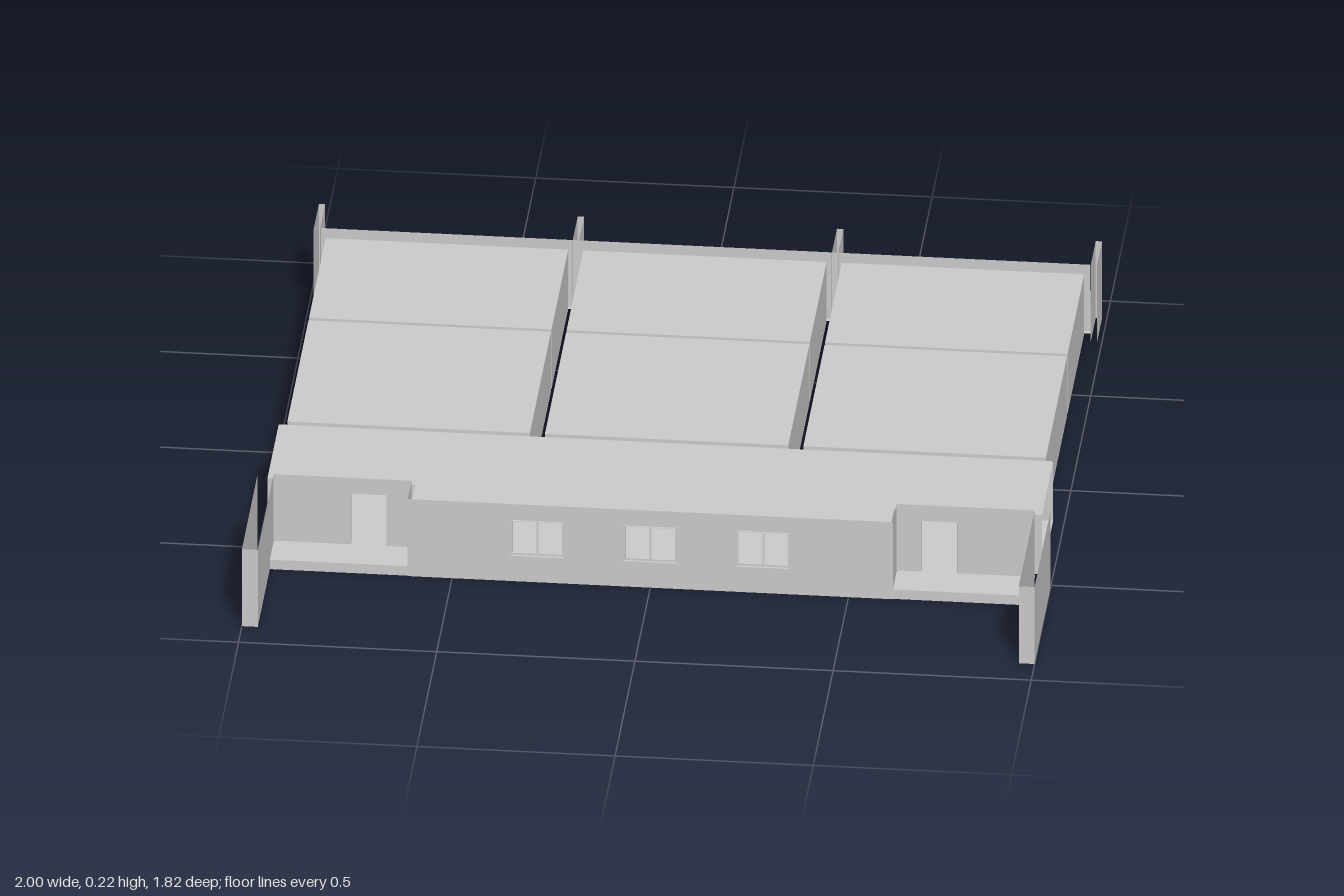
import * as THREE from 'three';

const mat = new THREE.MeshStandardMaterial({ color: 0xcccccc, side: THREE.DoubleSide, flatShading: true });

const FLOOR = 0.03, CEIL = 0.2, TOP = 0.22;

// Openings as [x0, x1, y0, y1]
const door = (x, w = 0.09) => [x - w / 2, x + w / 2, FLOOR, 0.175];
const pane = (x, w = 0.135) => [x - w / 2, x + w / 2, 0.075, 0.175];

const frontWindows = [-0.285, 0, 0.285].map(x => pane(x));
const porchDoors = [-0.72, 0.72].map(x => door(x));
const innerDoors = [-0.675, 0.02, 0.67].map(x => door(x, 0.1));
const rearDoors = [-0.51, -0.13, 0.515].map(x => door(x, 0.095));
const rearWindows = [-0.77, 0.12, 0.77].map(x => pane(x, 0.14));

function add(parent, name, geometry) {
  const mesh = new THREE.Mesh(geometry, mat);
  mesh.name = name;
  parent.add(mesh);
  return mesh;
}

function rectangle(x0, x1, y0, y1, Type = THREE.Shape) {
  const s = new Type();
  s.moveTo(x0, y0);
  s.lineTo(x1, y0);
  s.lineTo(x1, y1);
  s.lineTo(x0, y1);
  s.closePath();
  return s;
}

// Wall sheet facing z; openings resting on the lower edge are cut as notches
function wallZ(parent, name, z, x0, x1, y0, y1, openings = []) {
  const inside = openings.filter(o => o[0] > x0 && o[1] < x1).sort((a, b) => a[0] - b[0]);
  const s = new THREE.Shape();
  s.moveTo(x0, y0);
  for (const [a, b, c, d] of inside.filter(o => o[2] <= y0)) {
    s.lineTo(a, c);
    s.lineTo(a, d);
    s.lineTo(b, d);
    s.lineTo(b, c);
  }
  s.lineTo(x1, y0);
  s.lineTo(x1, y1);
  s.lineTo(x0, y1);
  s.closePath();
  for (const o of inside.filter(o => o[2] > y0)) s.holes.push(rectangle(...o, THREE.Path));
  add(parent, name, new THREE.ShapeGeometry(s)).position.z = z;
}

// Wall sheet facing x
function wallX(parent, name, x, z0, z1, y0, y1) {
  const g = new THREE.PlaneGeometry(z1 - z0, y1 - y0).rotateY(Math.PI / 2);
  add(parent, name, g).position.set(x, (y0 + y1) / 2, (z0 + z1) / 2);
}

// Horizontal sheet
function level(parent, name, y, x0, x1, z0, z1) {
  const g = new THREE.PlaneGeometry(x1 - x0, z1 - z0).rotateX(-Math.PI / 2);
  add(parent, name, g).position.set((x0 + x1) / 2, y, (z0 + z1) / 2);
}

// Lining of an opening between two wall sheets
function reveal(parent, [x0, x1, y0, y1], z0, z1) {
  const g = new THREE.Group();
  g.name = 'openingLining';
  for (const x of [x0, x1]) wallX(g, 'jamb', x, z0, z1, y0, y1);
  for (const y of [y0, y1]) level(g, 'sillOrHead', y, x0, x1, z0, z1);
  parent.add(g);
}

// Window frame with a centre mullion
function windowFrame(parent, [x0, x1, y0, y1], z) {
  const t = 0.005;
  const s = rectangle(x0, x1, y0, y1);
  const mid = (x0 + x1) / 2;
  s.holes.push(rectangle(x0 + t, mid - t / 2, y0 + t, y1 - t, THREE.Path));
  s.holes.push(rectangle(mid + t / 2, x1 - t, y0 + t, y1 - t, THREE.Path));
  add(parent, 'windowFrame', new THREE.ExtrudeGeometry(s, { depth: 0.005, bevelEnabled: false })).position.z = z;
}

// Hollow wing wall, open above and below
function wingWall(parent, x0, x1, z0, z1) {
  const g = new THREE.Group();
  g.name = 'wingWall';
  for (const x of [x0, x1]) wallX(g, 'wingSide', x, z0, z1, 0, TOP);
  wallZ(g, 'wingEnd', Math.abs(z1) > Math.abs(z0) ? z1 : z0, x0, x1, 0, TOP);
  parent.add(g);
}

function room(parent, x0, x1, z0, z1, backOpenings, frontOpenings) {
  const g = new THREE.Group();
  g.name = 'room';
  level(g, 'floor', FLOOR, x0, x1, z0, z1);
  level(g, 'ceiling', CEIL, x0, x1, z0, z1);
  for (const x of [x0, x1]) wallX(g, 'sideWall', x, z0, z1, FLOOR, CEIL);
  wallZ(g, 'backWall', z0, x0, x1, FLOOR, CEIL, backOpenings);
  wallZ(g, 'frontWall', z1, x0, x1, FLOOR, CEIL, frontOpenings);
  parent.add(g);
}

export function createModel() {
  const model = new THREE.Group();
  model.name = 'building';
  const rear = [...rearDoors, ...rearWindows];

  // Three units, each with two rooms one behind the other
  for (const [x0, x1] of [[-0.957, -0.345], [-0.307, 0.307], [0.345, 0.957]]) {
    room(model, x0, x1, -0.768, -0.347, rear, innerDoors);
    room(model, x0, x1, -0.335, 0.2, innerDoors, innerDoors);
  }
  for (const d of innerDoors) {
    reveal(model, d, -0.347, -0.335);
    reveal(model, d, 0.2, 0.217);
  }

  // Front hall: stepped plan, open at both ends
  const hall = new THREE.Group();
  hall.name = 'frontHall';
  const plan = new THREE.Shape([
    [-0.977, 0.217], [0.977, 0.217], [0.977, 0.5], [0.605, 0.5],
    [0.605, 0.6], [-0.605, 0.6], [-0.605, 0.5], [-0.977, 0.5],
  ].map(([x, z]) => new THREE.Vector2(x, -z)));
  for (const y of [FLOOR, CEIL]) {
    add(hall, y === CEIL ? 'hallCeiling' : 'hallFloor',
      new THREE.ShapeGeometry(plan).rotateX(-Math.PI / 2)).position.y = y;
  }
  wallZ(hall, 'hallBackWall', 0.217, -0.977, 0.977, FLOOR, CEIL, innerDoors);
  wallZ(hall, 'hallFrontWall', 0.6, -0.605, 0.605, FLOOR, CEIL, frontWindows);
  model.add(hall);

  // Outer front face, with a porch at each corner
  wallZ(model, 'frontFacade', 0.612, -0.612, 0.612, 0, TOP, frontWindows);
  for (const w of frontWindows) {
    reveal(model, w, 0.6, 0.617);
    windowFrame(model, w, 0.605);
  }
  for (const s of [-1, 1]) {
    const [a, b] = s < 0 ? [-0.96, -0.612] : [0.612, 0.96];
    const [c, d] = s < 0 ? [-0.977, -0.605] : [0.605, 0.977];
    wallZ(hall, 'hallPorchWall', 0.5, c, d, FLOOR, CEIL, porchDoors);
    wallX(hall, 'hallReturnWall', s * 0.605, 0.5, 0.6, FLOOR, CEIL);
    wallZ(model, 'porchWall', 0.515, a, b, FLOOR, TOP, porchDoors);
    wallX(model, 'porchReturnWall', s * 0.612, 0.515, 0.612, 0, TOP);
    level(model, 'porchFloor', 0.027, a, b, 0.5, 0.61);
    wallZ(model, 'porchStep', 0.61, a, b, 0, 0.027);
    wingWall(model, s < 0 ? -1 : 0.96, s < 0 ? -0.96 : 1, 0.517, 0.915);
  }
  for (const d of porchDoors) reveal(model, d, 0.5, 0.517);

  // Outer rear face
  wallZ(model, 'rearFacade', -0.783, -0.97, 0.97, FLOOR, TOP, rear);
  for (const o of rear) reveal(model, o, -0.79, -0.768);
  for (const w of rearWindows) windowFrame(model, w, -0.785);

  // Rear balconies with a low parapet, divided by wing walls
  for (const [x0, x1] of [[-0.972, -0.335], [-0.319, 0.319], [0.335, 0.972]]) {
    level(model, 'balconyFloor', FLOOR, x0, x1, -0.905, -0.77);
  }
  wallZ(model, 'balconyParapet', -0.905, -0.972, 0.972, 0, 0.08);
  for (const x of [-0.98, -0.327, 0.327, 0.98]) wingWall(model, x - 0.008, x + 0.008, -0.908, -0.775);

  return model;
}
